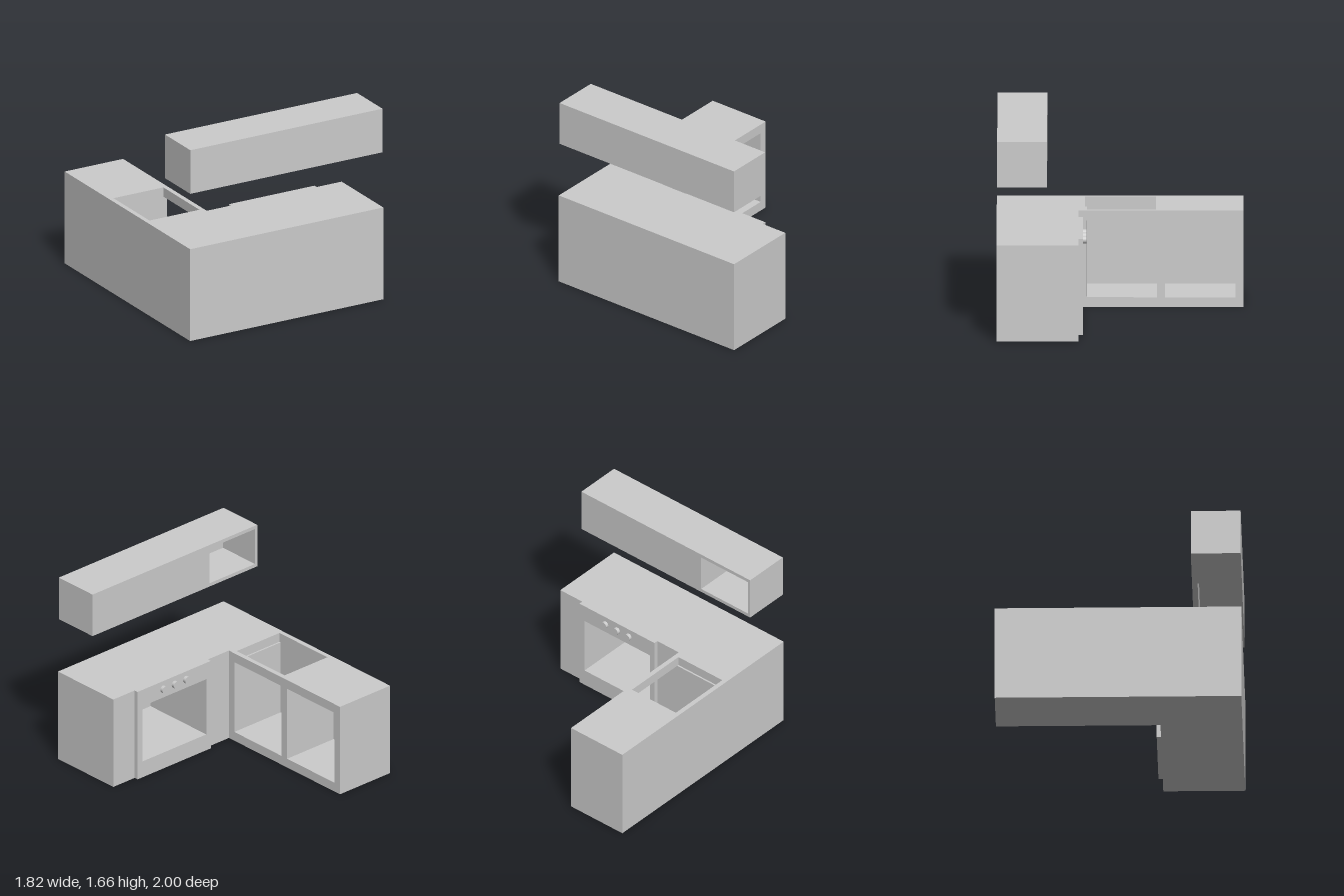
import * as THREE from 'three';
import { mergeGeometries } from 'three/addons/utils/BufferGeometryUtils.js';

const material = new THREE.MeshStandardMaterial({ color: 0xcccccc, flatShading: true });

const rect = (u0, u1, v0, v1) => [[u0, v0], [u1, v0], [u1, v1], [u0, v1]];

// Flat face across an axis, facing +axis or -axis.
// Outline coordinates: x faces use (z, y), y faces use (x, z), z faces use (x, y).
function face(axis, dir, c, outline, holes = []) {
  const toPoints = (list) => list.map(([u, v]) => new THREE.Vector2(u, v));
  const shape = new THREE.Shape(toPoints(outline));
  for (const h of holes) shape.holes.push(new THREE.Path(toPoints(h)));
  const g = new THREE.ShapeGeometry(shape);
  const p = g.attributes.position;
  for (let i = 0; i < p.count; i++) {
    const u = p.getX(i), v = p.getY(i);
    if (axis === 'x') p.setXYZ(i, c, v, u);
    else if (axis === 'y') p.setXYZ(i, u, c, v);
    else p.setXYZ(i, u, v, c);
  }
  const natural = axis === 'z' ? 1 : -1;
  if (natural !== dir) g.index.array.reverse();
  g.computeVertexNormals();
  return g;
}

// Upright block over an (x, z) footprint; cuts are openings in the top, bottom or numbered sides.
function block(footprint, y0, y1, cuts = {}) {
  const faces = [
    face('y', 1, y1, footprint, cuts.top),
    face('y', -1, y0, footprint, cuts.bottom),
  ];
  footprint.forEach(([ax, az], i) => {
    const [bx, bz] = footprint[(i + 1) % footprint.length];
    if (ax === bx) faces.push(face('x', Math.sign(bz - az), ax, rect(Math.min(az, bz), Math.max(az, bz), y0, y1), cuts[i]));
    else faces.push(face('z', -Math.sign(bx - ax), az, rect(Math.min(ax, bx), Math.max(ax, bx), y0, y1), cuts[i]));
  });
  return faces;
}

// Inward-facing compartment, leaving out its open sides.
function niche([x0, x1], [y0, y1], [z0, z1], open) {
  const sides = {
    '-x': () => face('x', 1, x0, rect(z0, z1, y0, y1)),
    '+x': () => face('x', -1, x1, rect(z0, z1, y0, y1)),
    '-y': () => face('y', 1, y0, rect(x0, x1, z0, z1)),
    '+y': () => face('y', -1, y1, rect(x0, x1, z0, z1)),
    '-z': () => face('z', 1, z0, rect(x0, x1, y0, y1)),
    '+z': () => face('z', -1, z1, rect(x0, x1, y0, y1)),
  };
  return Object.keys(sides).filter((k) => !open.includes(k)).map((k) => sides[k]());
}

export function createModel() {
  const kitchen = new THREE.Group();
  kitchen.name = 'kitchen';
  const add = (name, faces) => {
    const mesh = new THREE.Mesh(mergeGeometries(faces), material);
    mesh.name = name;
    kitchen.add(mesh);
    return mesh;
  };

  // L-shaped counter, with the oven front standing slightly proud
  const footprint = [
    [-0.91, -1], [-0.36, -1], [-0.36, 0.335], [-0.13, 0.335], [-0.13, 0.3],
    [0.675, 0.3], [0.675, 0.335], [0.91, 0.335], [0.91, 1], [-0.91, 1],
  ];
  add('counter', block(footprint, 0, 0.8, {
    top: [rect(-0.87, -0.4, -0.29, 0.285)],
    1: [rect(-0.3, 0.27, 0.08, 0.72), rect(-0.935, -0.365, 0.08, 0.72)],
    4: [rect(-0.08, 0.62, 0.145, 0.65)],
  }));
  add('ovenCavity', niche([-0.08, 0.62], [0.145, 0.65], [0.3, 0.97], ['-z']));
  add('baseCabinet', niche([-0.87, -0.36], [0.08, 0.72], [-0.935, -0.365], ['+x']));

  // Sink cutout, open to the cabinet below it apart from a narrow ledge
  add('sinkCutout', [
    ...niche([-0.87, -0.4], [0.72, 0.8], [-0.29, 0.285], ['-y', '+y']),
    face('y', 1, 0.72, rect(-0.87, -0.4, 0.27, 0.285)),
  ]);
  add('sinkCabinet', [
    ...niche([-0.87, -0.36], [0.08, 0.72], [-0.3, 0.27], ['+x', '+y']),
    face('y', -1, 0.72, [
      [-0.87, -0.3], [-0.36, -0.3], [-0.36, 0.27], [-0.4, 0.27], [-0.4, -0.29], [-0.87, -0.29],
    ]),
  ]);

  // Oven knobs
  for (const x of [0.145, 0.27, 0.395]) {
    const knob = new THREE.CylinderGeometry(0.03, 0.03, 0.027, 32).toNonIndexed();
    const mesh = add('ovenKnob', [knob]);
    mesh.material = new THREE.MeshStandardMaterial({ color: 0xcccccc });
    mesh.rotation.x = Math.PI / 2;
    mesh.position.set(x, 0.73, 0.2865);
  }

  // Wall cabinet with an open shelf and a hood recess underneath
  add('wallCabinet', block(rect(-0.905, 0.905, 0.59, 0.995), 1.28, 1.66, {
    0: [rect(-0.88, -0.38, 1.31, 1.63)],
    bottom: [rect(-0.33, 0.87, 0.635, 0.95)],
  }));
  add('wallShelf', niche([-0.88, -0.38], [1.31, 1.63], [0.59, 0.975], ['-z']));
  add('hoodRecess', niche([-0.33, 0.87], [1.28, 1.6], [0.635, 0.95], ['-y']));

  return kitchen;
}
